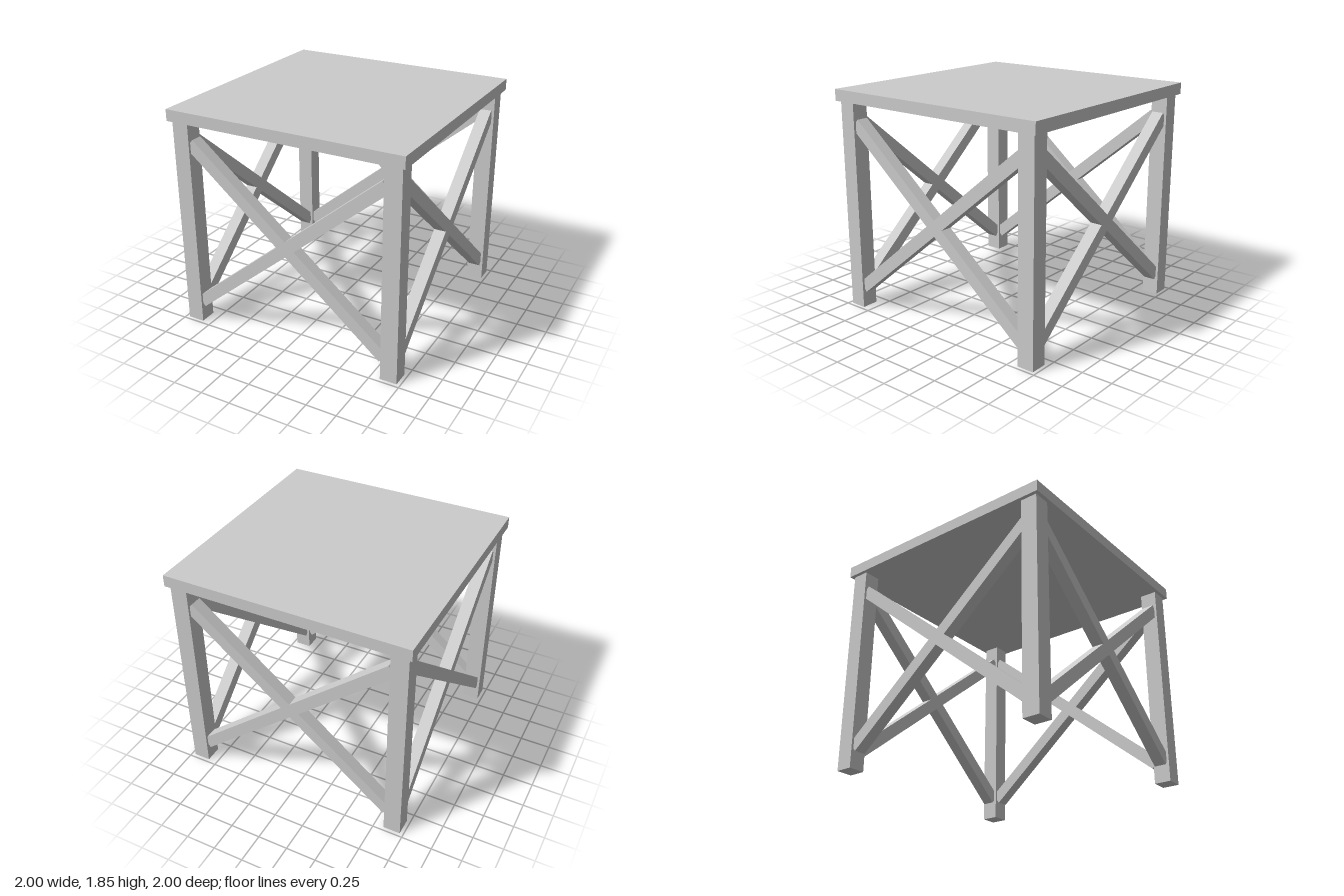
import * as THREE from 'three';

export function createModel() {
  const model = new THREE.Group();
  model.name = 'crossBracedTable';
  const material = new THREE.MeshStandardMaterial({ color: 0xcccccc, flatShading: true });

  function addBox(parent, name, size, position) {
    const mesh = new THREE.Mesh(new THREE.BoxGeometry(...size), material);
    mesh.name = name;
    mesh.position.set(...position);
    parent.add(mesh);
    return mesh;
  }

  const legHeight = 1.755, topThickness = 0.095, legWidth = 0.14, legCentre = 0.9;
  const braceWidth = 0.1, braceLength = 2.19, braceAngle = 0.695;

  // Square table top
  addBox(model, 'tableTop', [2, topThickness, 2], [0, legHeight + topThickness / 2, 0]);

  // Four corner legs
  for (const x of [-1, 1]) {
    for (const z of [-1, 1]) {
      const name = (z > 0 ? 'front' : 'back') + (x > 0 ? 'Left' : 'Right') + 'Leg';
      addBox(model, name, [legWidth, legHeight, legWidth],
        [x * legCentre, legHeight / 2, z * legCentre]);
    }
  }

  // An X of two square braces on each side, ends let into the legs
  ['front', 'left', 'back', 'right'].forEach((side, i) => {
    const cross = new THREE.Group();
    cross.name = side + 'CrossBrace';
    for (const s of [-1, 1]) {
      const brace = addBox(cross, s > 0 ? 'risingBrace' : 'fallingBrace',
        [braceLength, braceWidth, braceWidth], [0, legHeight / 2, legCentre]);
      brace.rotation.z = s * braceAngle;
    }
    cross.rotation.y = i * Math.PI / 2;
    model.add(cross);
  });

  return model;
}
